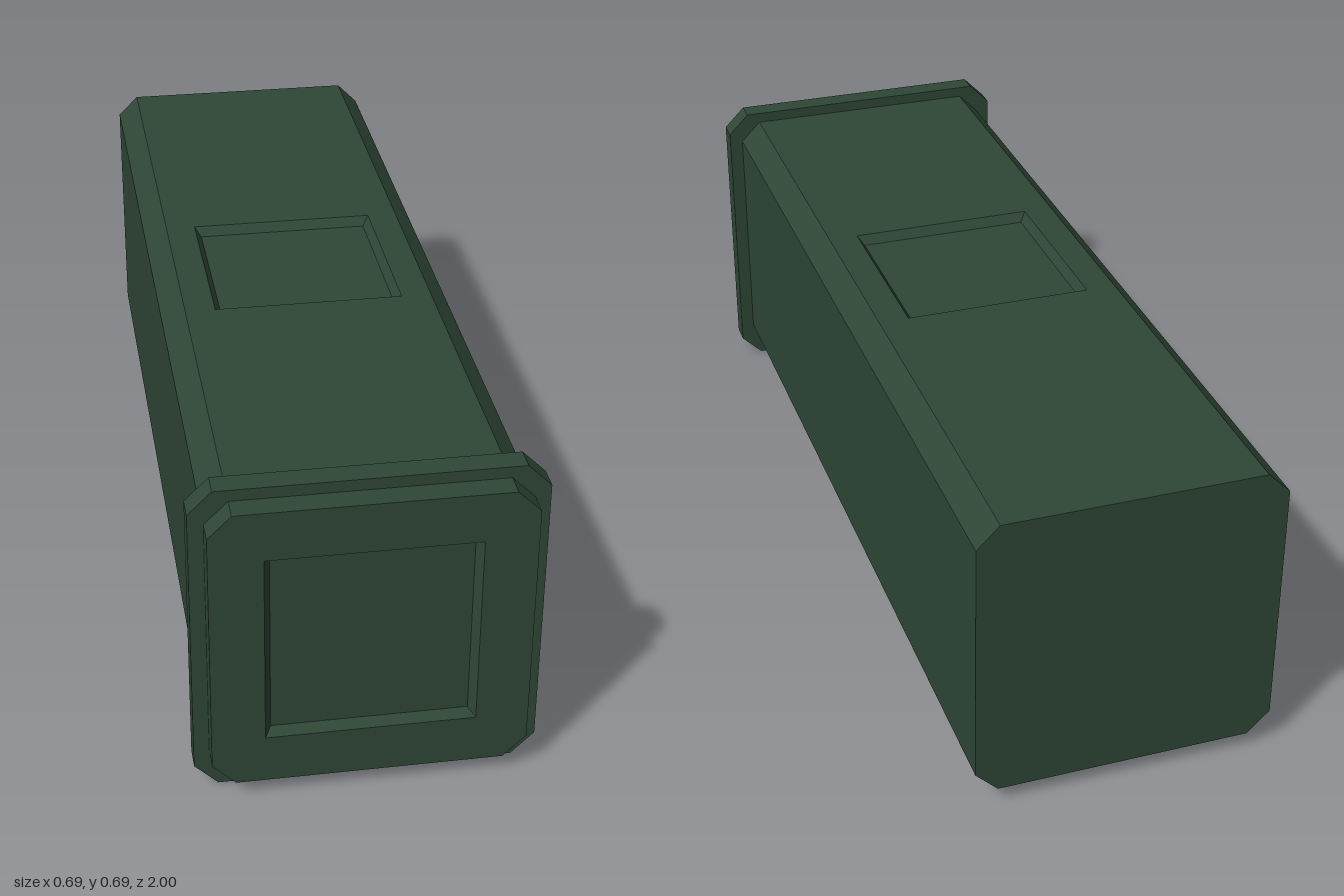
import * as THREE from 'three';
import { mergeGeometries } from 'three/addons/utils/BufferGeometryUtils.js';

const HALF = 0.316;     // body half width
const BODY_Y = 0.354;   // body centre height
const CUT = 0.047;      // corner chamfer
const DEPTH = 0.02;     // recess depth

// Corners of a chamfered square, anticlockwise, starting at the lower right side
function octagon(h, c) {
  const k = h - c;
  return [[h, -k], [h, k], [k, h], [-k, h], [-h, k], [-h, -k], [-k, -h], [k, -h]]
    .map(([x, y]) => new THREE.Vector2(x, y));
}

function squareHole(h) {
  return new THREE.Path([[-h, -h], [-h, h], [h, h], [h, -h]]
    .map(([x, y]) => new THREE.Vector2(x, y)));
}

// Sunken square pan with sloping walls, opening towards +z at z = 0
function recessGeometry(outer, inner) {
  const walls = new THREE.CylinderGeometry(outer * Math.SQRT2, inner * Math.SQRT2, DEPTH, 4, 1, true);
  walls.rotateY(Math.PI / 4).rotateX(Math.PI / 2).translate(0, 0, -DEPTH / 2);
  walls.scale(-1, 1, 1); // mirrored so the walls face inward
  const floor = new THREE.PlaneGeometry(inner * 2, inner * 2).translate(0, 0, -DEPTH);
  const merged = mergeGeometries([walls.toNonIndexed(), floor.toNonIndexed()]);
  merged.computeVertexNormals();
  return merged;
}

export function createModel() {
  const group = new THREE.Group();
  const green = new THREE.MeshStandardMaterial({ color: 0x2f4737 });
  green.name = 'dark green';

  const add = (name, geometry, parent = group) => {
    const mesh = new THREE.Mesh(geometry, green);
    mesh.name = name;
    parent.add(mesh);
    return mesh;
  };

  const body = new THREE.Group();
  body.name = 'body';
  body.position.y = BODY_Y;
  group.add(body);

  // Long walls and chamfers; the top wall is built with its recess below
  const pts = octagon(HALF, CUT);
  const sides = [];
  pts.forEach((a, i) => {
    if (i === 2) return;
    const b = pts[(i + 1) % 8];
    const g = new THREE.PlaneGeometry(a.distanceTo(b), 2);
    g.rotateX(-Math.PI / 2);
    g.rotateZ(Math.atan2(b.y - a.y, b.x - a.x) + Math.PI);
    g.translate((a.x + b.x) / 2, (a.y + b.y) / 2, 0);
    sides.push(g);
  });
  add('sideWalls', mergeGeometries(sides), body);

  // Back end
  add('backFace', new THREE.ShapeGeometry(new THREE.Shape(pts)).rotateY(Math.PI).translate(0, 0, -1), body);

  // Front end with its large recess
  const front = new THREE.Shape(pts);
  front.holes.push(squareHole(0.21));
  add('frontFace', new THREE.ShapeGeometry(front).translate(0, 0, 1), body);
  add('frontRecess', recessGeometry(0.21, 0.197).translate(0, 0, 1), body);

  // Top wall with its central recess
  const w = HALF - CUT;
  const top = new THREE.Shape([[-w, -1], [w, -1], [w, 1], [-w, 1]]
    .map(([x, y]) => new THREE.Vector2(x, y)));
  top.holes.push(squareHole(0.204));
  add('topWall', new THREE.ShapeGeometry(top).rotateX(-Math.PI / 2).translate(0, HALF, 0), body);
  add('topRecess', recessGeometry(0.204, 0.19).rotateX(-Math.PI / 2).translate(0, HALF, 0), body);

  // Raised collar near the front
  const collar = new THREE.ExtrudeGeometry(new THREE.Shape(octagon(0.347, 0.048)),
    { depth: 0.05, bevelEnabled: false });
  add('collar', collar.translate(0, 0.347, 0.9));

  return group;
}
